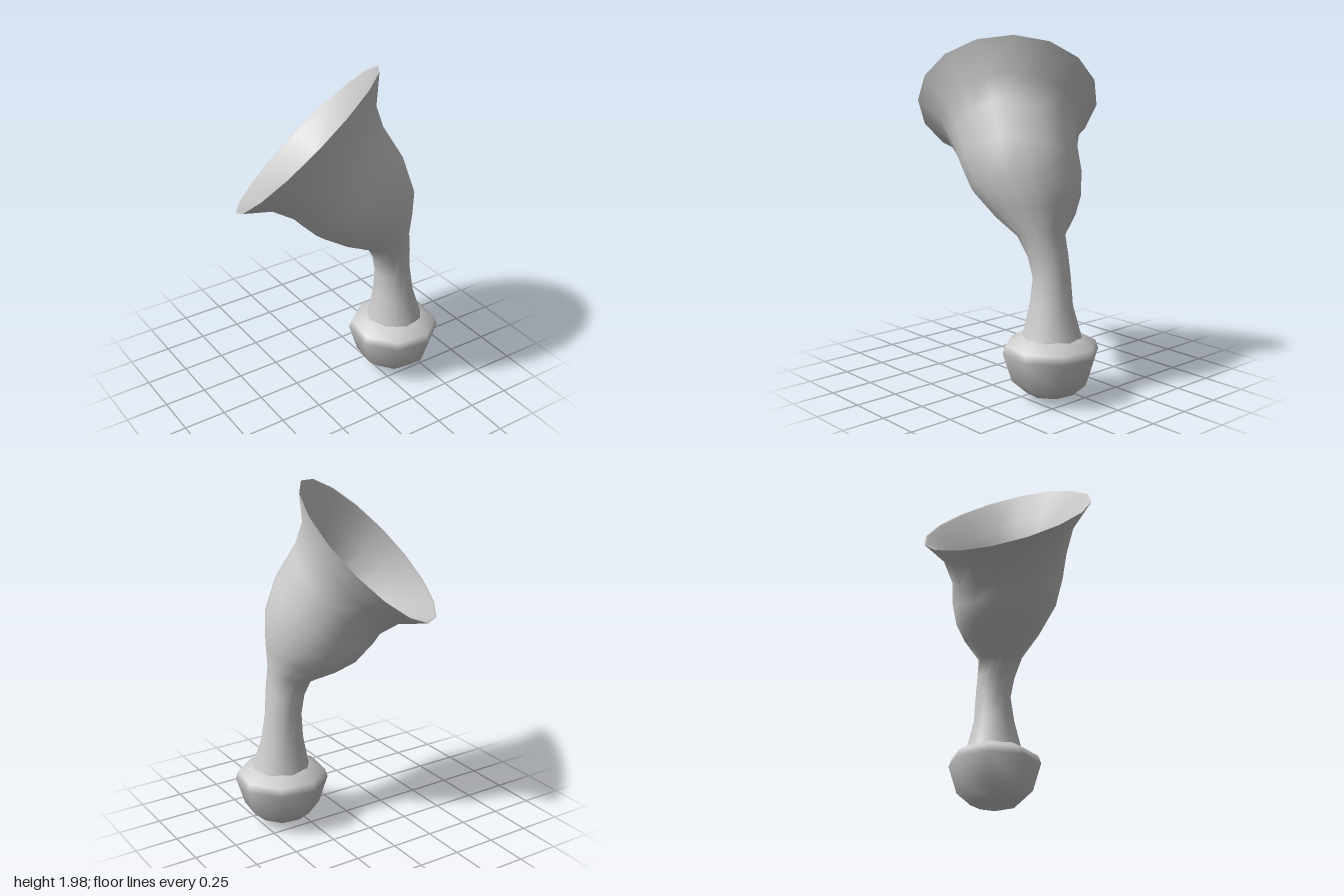
import * as THREE from 'three';

const SIDES = 16;

// Skin a row of rings. Each ring: [centre, axis, radius along u, radius along v]
function sweep(rings) {
  const pos = [], index = [];
  const ref = new THREE.Vector3(0.75, 0.66, 0.1);
  for (const [c, axis, ru, rv = ru] of rings) {
    const n = new THREE.Vector3(...axis).normalize();
    const u = ref.clone().addScaledVector(n, -ref.dot(n)).normalize();
    const v = n.clone().cross(u);
    for (let j = 0; j < SIDES; j++) {
      const a = (j / SIDES) * Math.PI * 2;
      const p = new THREE.Vector3(...c)
        .addScaledVector(u, ru * Math.cos(a))
        .addScaledVector(v, rv * Math.sin(a));
      pos.push(p.x, p.y, p.z);
    }
  }
  for (let i = 0; i < rings.length - 1; i++) {
    for (let j = 0; j < SIDES; j++) {
      const k = (j + 1) % SIDES;
      const a = i * SIDES + j, b = i * SIDES + k;
      index.push(a, b, b + SIDES, a, b + SIDES, a + SIDES);
    }
  }
  const g = new THREE.BufferGeometry();
  g.setAttribute('position', new THREE.Float32BufferAttribute(pos, 3));
  g.setIndex(index);
  g.computeVertexNormals();
  return g;
}

export function createModel() {
  const group = new THREE.Group();
  const material = new THREE.MeshStandardMaterial({ color: 0xcccccc, side: THREE.DoubleSide });
  const add = (name, geometry) => {
    const mesh = new THREE.Mesh(geometry, material);
    mesh.name = name;
    group.add(mesh);
    return mesh;
  };

  const tilt = [-0.516, 0.697, -0.496];
  const rim = [[-0.155, 1.596, -0.005], tilt, 0.552, 0.505];

  // Stem, belly and flared mouth, from the knob up to the rim
  add('stemAndHornOutside', sweep([
    [[0.37, 0.33, 0.132], [0, 1, 0], 0.175],
    [[0.37, 0.38, 0.132], [0, 1, 0], 0.158],
    [[0.36, 0.53, 0.128], [0, 1, 0], 0.12],
    [[0.355, 0.68, 0.12], [-0.05, 1, 0], 0.105],
    [[0.335, 0.8, 0.13], [-0.15, 1, -0.05], 0.112],
    [[0.295, 0.91, 0.143], [-0.25, 0.95, -0.17], 0.132],
    [[0.22, 1.01, 0.122], [-0.27, 0.93, -0.22], 0.225],
    [[0.145, 1.13, 0.12], [-0.28, 0.9, -0.33], 0.305],
    [[0.08, 1.26, 0.1], [-0.38, 0.82, -0.4], 0.338],
    [[0, 1.385, 0.075], tilt, 0.352],
    [[-0.08, 1.492, 0.035], tilt, 0.41, 0.395],
    rim,
  ]));

  // Inside of the mouth, narrowing to a throat and opening into a rounded bowl
  add('hornInside', sweep([
    rim,
    [[-0.152, 1.592, -0.004], tilt, 0.538, 0.491],
    [[-0.08, 1.492, 0.035], tilt, 0.39, 0.37],
    [[0.0, 1.385, 0.075], tilt, 0.27],
    [[0.035, 1.325, 0.088], tilt, 0.255],
    [[0.085, 1.24, 0.1], [-0.38, 0.82, -0.4], 0.28],
    [[0.14, 1.14, 0.12], [-0.28, 0.9, -0.33], 0.26],
    [[0.19, 1.06, 0.125], [-0.27, 0.93, -0.22], 0.18],
    [[0.21, 1.025, 0.128], [-0.27, 0.93, -0.22], 0.004],
  ]));

  // Faceted knob at the foot
  const profile = [
    [0, 0], [0.14, 0.04], [0.22, 0.11], [0.27, 0.27], [0.255, 0.315], [0.165, 0.365], [0.13, 0.37],
  ].map(([r, y]) => new THREE.Vector2(r, y));
  const knob = add('knob', new THREE.LatheGeometry(profile, 8));
  knob.position.set(0.366, 0, 0.135);
  knob.rotation.y = THREE.MathUtils.degToRad(15);

  return group;
}
